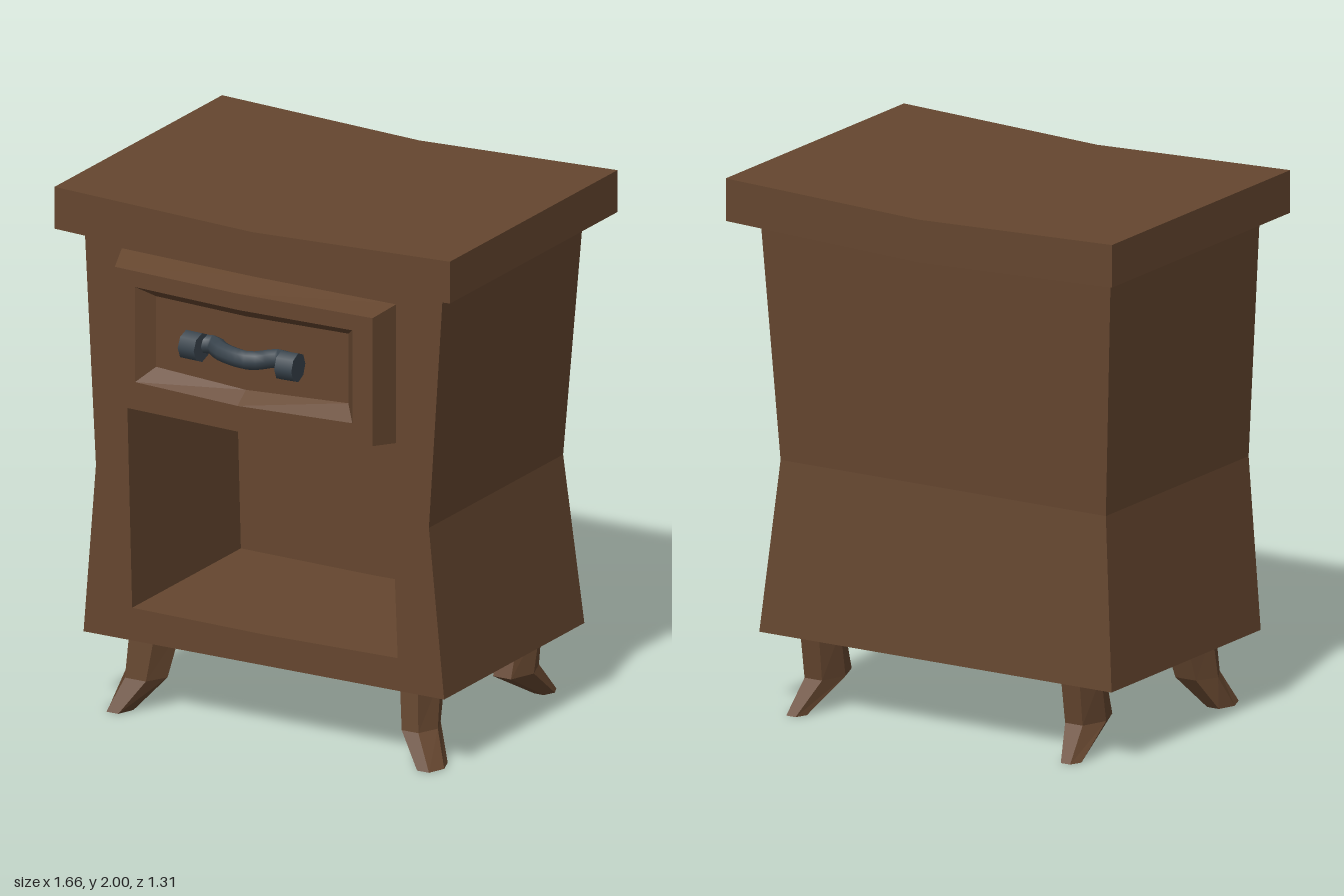
import * as THREE from 'three';

const wood = new THREE.MeshStandardMaterial({ color: 0x65462f });
wood.name = 'brown wood';
const iron = new THREE.MeshStandardMaterial({ color: 0x39444d });
iron.name = 'dark iron';

// Flat-faced skin over a list of cross-sections with equal point counts
function loft(rings, { open = false, startCap = false, endCap = false } = {}) {
  const out = [];
  const n = rings[0].length;
  const tri = (a, b, c) => out.push(...a, ...b, ...c);
  for (let i = 0; i < rings.length - 1; i++) {
    for (let j = 0; j < (open ? n - 1 : n); j++) {
      const k = (j + 1) % n;
      const [a, b, c, d] = [rings[i][j], rings[i][k], rings[i + 1][k], rings[i + 1][j]];
      tri(a, b, c);
      tri(a, c, d);
    }
  }
  const first = rings[0], last = rings[rings.length - 1];
  for (let j = 1; j < n - 1; j++) {
    if (startCap) tri(first[0], first[j + 1], first[j]);
    if (endCap) tri(last[0], last[j], last[j + 1]);
  }
  const g = new THREE.BufferGeometry();
  g.setAttribute('position', new THREE.Float32BufferAttribute(out, 3));
  g.computeVertexNormals();
  return g;
}

const shapeOf = (pts) => new THREE.Shape(pts.map(([x, y]) => new THREE.Vector2(x, y)));
const atZ = (pts, z) => pts.map(([x, y]) => [x, y, z]);

export function createModel() {
  const group = new THREE.Group();
  const add = (name, geometry, material, parent = group) => {
    const mesh = new THREE.Mesh(geometry, material);
    mesh.name = name;
    parent.add(mesh);
    return mesh;
  };

  // Sagging table top
  const slab = shapeOf([[-0.83, 1.84], [0, 1.81], [0.83, 1.84], [0.83, 2], [0, 1.97], [-0.83, 2]]);
  const topGeo = new THREE.ExtrudeGeometry(slab, { depth: 1.195, bevelEnabled: false });
  add('tableTop', topGeo.translate(0, 0, -0.655), wood);

  // Waisted cabinet: sides, back and underside [y, left x, right x, back z]
  const zFront = 0.445;
  const levels = [
    [0.285, -0.764, 0.75, -0.555],
    [0.93, -0.712, 0.686, -0.512],
    [1.84, -0.76, 0.745, -0.555],
  ];
  const bodyRings = levels.map(([y, l, r, b]) => [[r, y, zFront], [r, y, b], [l, y, b], [l, y, zFront]]);
  add('cabinetShell', loft(bodyRings, { open: true, startCap: true }), wood);

  // Front frame with the open shelf cut out
  const opening = [[-0.56, 0.41], [0, 0.403], [0.555, 0.41], [0.525, 1.17], [0, 1.157], [-0.58, 1.17]];
  const front = shapeOf([
    ...levels.map(([y, , r]) => [r, y]),
    ...levels.slice().reverse().map(([y, l]) => [l, y]),
  ]);
  front.holes.push(shapeOf(opening));
  add('frontFrame', new THREE.ShapeGeometry(front).translate(0, 0, zFront), wood);
  add('openShelf', loft([atZ(opening, zFront), atZ(opening, -0.33)], { endCap: true }), wood);

  // Drawer front: bevelled block with a recessed panel
  const rear = [[-0.59, 1.225], [-0.06, 1.204], [0.55, 1.23], [0.55, 1.762], [-0.05, 1.765], [-0.605, 1.778]];
  const face = [[-0.56, 1.247], [-0.06, 1.23], [0.517, 1.247], [0.517, 1.736], [-0.05, 1.732], [-0.565, 1.746]];
  const rim = [[-0.48, 1.32], [-0.05, 1.303], [0.432, 1.32], [0.432, 1.675], [-0.05, 1.67], [-0.48, 1.683]];
  const panel = [[-0.427, 1.37], [-0.05, 1.347], [0.38, 1.37], [0.38, 1.636], [-0.05, 1.628], [-0.427, 1.64]];
  add('drawerFront', loft(
    [atZ(rear, 0.44), atZ(face, 0.56), atZ(rim, 0.56), atZ(panel, 0.5)], { endCap: true }), wood);

  // Wavy drawer handle with two end knobs
  const handle = new THREE.Group();
  handle.name = 'drawerHandle';
  group.add(handle);
  for (const [name, x, z, tilt] of [['rightKnob', -0.222, 0.577, -0.06], ['leftKnob', 0.193, 0.6, 0.05]]) {
    const knob = new THREE.CylinderGeometry(0.055, 0.055, 0.07, 8).rotateZ(Math.PI / 2);
    const mesh = add(name, knob, iron, handle);
    mesh.position.set(x, 1.508, z);
    mesh.rotation.y = tilt;
  }
  const path = new THREE.CatmullRomCurve3([
    [-0.22, 1.512, 0.565], [-0.165, 1.512, 0.54], [-0.1, 1.508, 0.583],
    [0.03, 1.503, 0.605], [0.11, 1.508, 0.545], [0.19, 1.512, 0.58],
  ].map((p) => new THREE.Vector3(...p)));
  add('handleBar', new THREE.TubeGeometry(path, 16, 0.036, 8), iron, handle);

  // Splayed legs: six-sided sections from foot to knee to top [y, x, z, half width, half depth]
  const leg = (name, sections) => {
    const rings = sections.map(([y, cx, cz, w, d]) => Array.from({ length: 6 }, (_, i) => {
      const a = (i / 6) * Math.PI * 2;
      return [cx + w * Math.cos(a), y, cz - d * Math.sin(a) * 1.15];
    }));
    add(name, loft(rings, { startCap: true, endCap: true }), wood);
  };
  leg('frontRightLeg', [[0, -0.635, 0.393, 0.05, 0.067], [0.12, -0.573, 0.32, 0.088, 0.08], [0.3, -0.555, 0.283, 0.105, 0.1]]);
  leg('frontLeftLeg', [[0, 0.67, 0.393, 0.05, 0.067], [0.12, 0.58, 0.32, 0.07, 0.08], [0.3, 0.565, 0.283, 0.075, 0.1]]);
  for (const [name, s] of [['backLeftLeg', 1], ['backRightLeg', -1]]) {
    leg(name, [[0, s * 0.59, -0.548, 0.04, 0.045], [0.12, s * 0.56, -0.39, 0.075, 0.1], [0.3, s * 0.56, -0.43, 0.08, 0.085]]);
  }

  return group;
}
